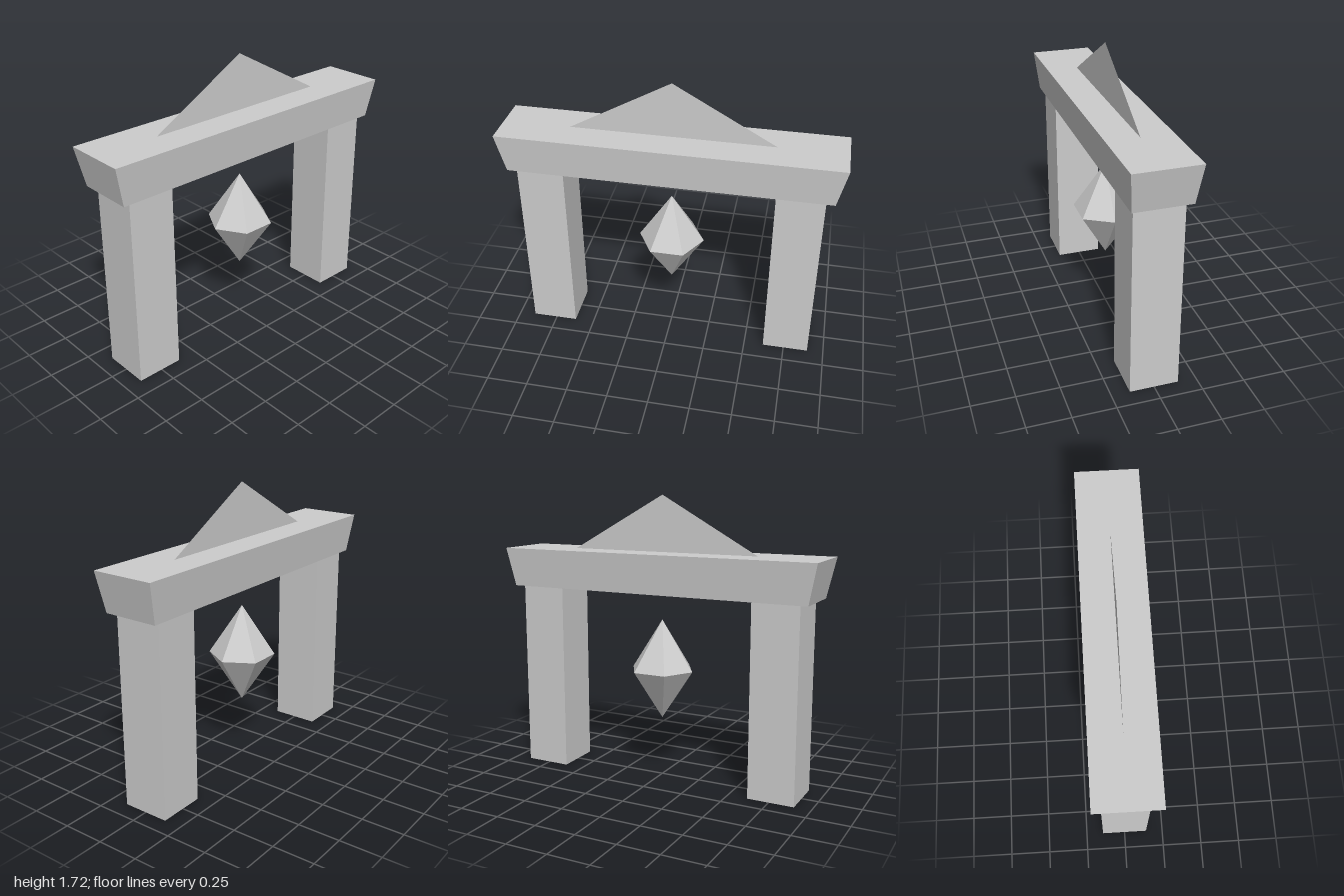
import * as THREE from 'three';

const stone = new THREE.MeshStandardMaterial({ color: 0xcccccc, flatShading: true, side: THREE.DoubleSide });
stone.name = 'grey stone';

function add(group, name, geometry) {
  const mesh = new THREE.Mesh(geometry, stone);
  mesh.name = name;
  group.add(mesh);
  return mesh;
}

// Open square tube standing on y = 0
function pillarGeometry(width, height, depth) {
  return new THREE.CylinderGeometry(Math.SQRT1_2, Math.SQRT1_2, 1, 4, 1, true)
    .rotateY(Math.PI / 4)
    .scale(width, height, depth)
    .translate(0, height / 2, 0);
}

// Box whose underside is narrower than its top
function lintelGeometry(bottomY, topY) {
  const geometry = new THREE.BoxGeometry(2, topY - bottomY, 0.38);
  const p = geometry.attributes.position;
  for (let i = 0; i < p.count; i++) {
    if (p.getY(i) < 0) {
      p.setX(i, Math.sign(p.getX(i)) * 0.95);
      p.setZ(i, Math.sign(p.getZ(i)) * 0.167);
    }
  }
  geometry.translate(0, (bottomY + topY) / 2, 0);
  geometry.computeVertexNormals();
  return geometry;
}

export function createModel() {
  const gate = new THREE.Group();
  gate.name = 'gate';

  // Pillars
  for (const [name, side] of [['leftPillar', 1], ['rightPillar', -1]]) {
    add(gate, name, pillarGeometry(0.28, 1.145, 0.285)).position.x = side * 0.76;
  }

  // Flared lintel
  add(gate, 'lintel', lintelGeometry(1.145, 1.38));

  // Flat triangular pediment
  const triangle = new THREE.Shape([
    new THREE.Vector2(-0.6, 1.38),
    new THREE.Vector2(0.6, 1.38),
    new THREE.Vector2(0, 1.715),
  ]);
  add(gate, 'pediment', new THREE.ShapeGeometry(triangle));

  // Floating six-sided crystal, with corners on the x axis
  const profile = [[0, 0.365], [0.2, 0.67], [0, 0.975]].map(([r, y]) => new THREE.Vector2(r, y));
  add(gate, 'crystal', new THREE.LatheGeometry(profile, 6, Math.PI / 2));

  return gate;
}
